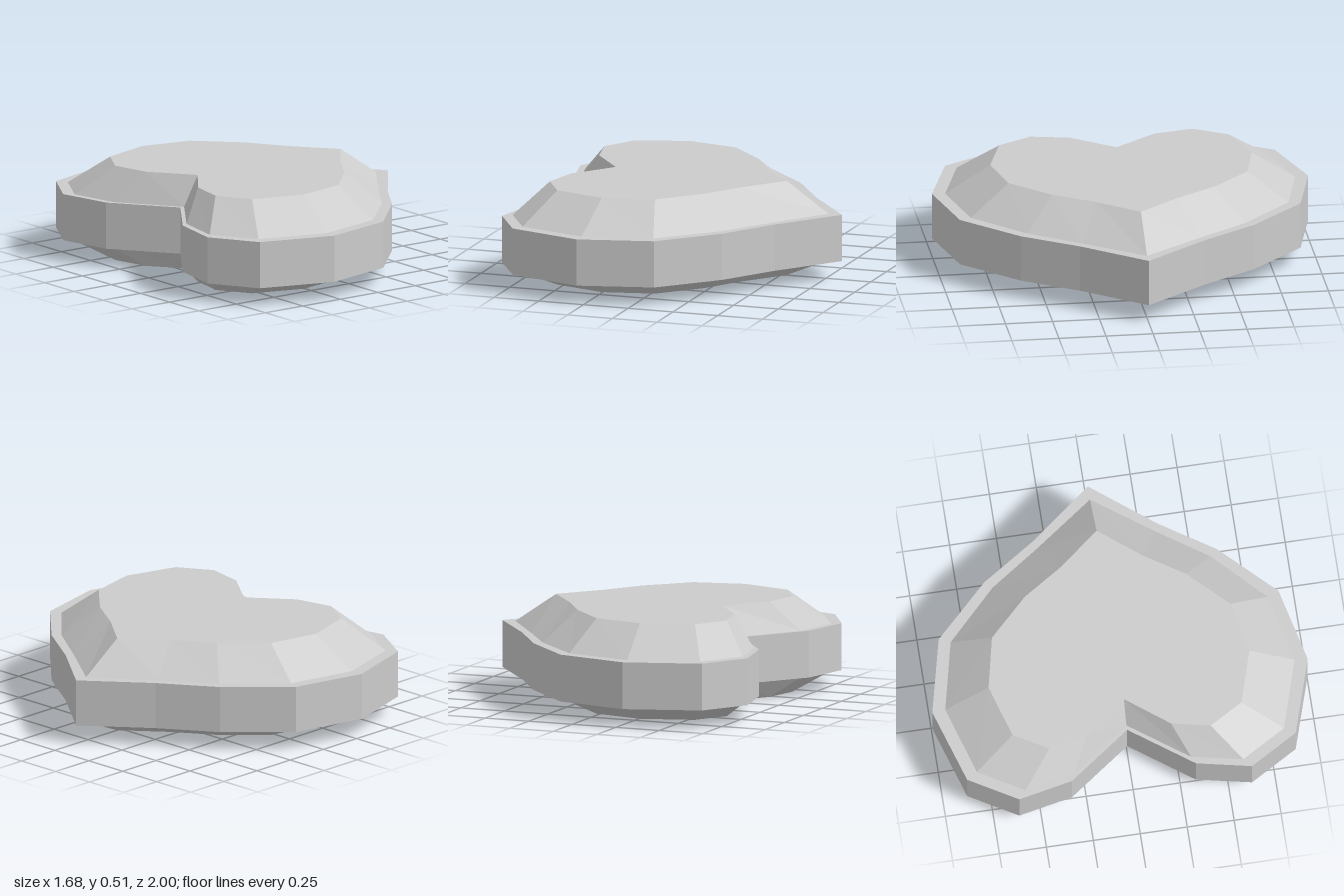
import * as THREE from 'three';

// Half outlines [x, z] of the heart, from the tip (+x) round to the notch (-x)
const GIRDLE = [[0.84, 0], [0.58, 0.33], [0.39, 0.62], [0.11, 0.905], [-0.29, 1], [-0.69, 0.875], [-0.84, 0.62], [-0.78, 0.33], [-0.54, 0]];
const RIM = [[0.765, 0], [0.54, 0.31], [0.355, 0.58], [0.085, 0.845], [-0.285, 0.93], [-0.655, 0.818], [-0.795, 0.58], [-0.74, 0.31], [-0.515, 0]];
const TABLE = [[0.53, 0], [0.355, 0.22], [0.22, 0.43], [0.02, 0.635], [-0.255, 0.695], [-0.535, 0.61], [-0.64, 0.43], [-0.597, 0.225], [-0.425, 0]];

// Mirror a half outline across z = 0 into a closed loop
const closeLoop = (half) => [...half, ...half.slice(1, -1).reverse().map(([x, z]) => [x, -z])];

// Flat facets joining a lower loop to an upper loop
function band(lower, y0, upper, y1) {
  const a = closeLoop(lower), b = closeLoop(upper), pos = [];
  for (let i = 0; i < a.length; i++) {
    const j = (i + 1) % a.length;
    const p = (q, y) => [q[0], y, q[1]];
    const ai = p(a[i], y0), aj = p(a[j], y0), bi = p(b[i], y1), bj = p(b[j], y1);
    pos.push(...ai, ...bi, ...bj, ...ai, ...bj, ...aj);
  }
  const geo = new THREE.BufferGeometry();
  geo.setAttribute('position', new THREE.Float32BufferAttribute(pos, 3));
  geo.computeVertexNormals();
  return geo;
}

// Flat heart-shaped face looking up (dir = 1) or down (dir = -1)
function face(half, y, dir) {
  const shape = new THREE.Shape(closeLoop(half).map(([x, z]) => new THREE.Vector2(x, z)));
  return new THREE.ShapeGeometry(shape).rotateX(-dir * Math.PI / 2).translate(0, y, 0);
}

export function createModel() {
  const group = new THREE.Group();
  group.name = 'heartGem';
  const material = new THREE.MeshStandardMaterial({ color: 0xcccccc, flatShading: true });
  const add = (name, geometry) => {
    const mesh = new THREE.Mesh(geometry, material);
    mesh.name = name;
    group.add(mesh);
  };

  // From the underside up to the table
  add('bottomFace', face(TABLE, 0, -1));
  add('lowerBevel', band(TABLE, 0, RIM, 0.1));
  add('lowerLedge', band(RIM, 0.1, GIRDLE, 0.1));
  add('girdle', band(GIRDLE, 0.1, GIRDLE, 0.35));
  add('upperLedge', band(GIRDLE, 0.35, RIM, 0.35));
  add('upperBevel', band(RIM, 0.35, TABLE, 0.51));
  add('topFace', face(TABLE, 0.51, 1));
  return group;
}
